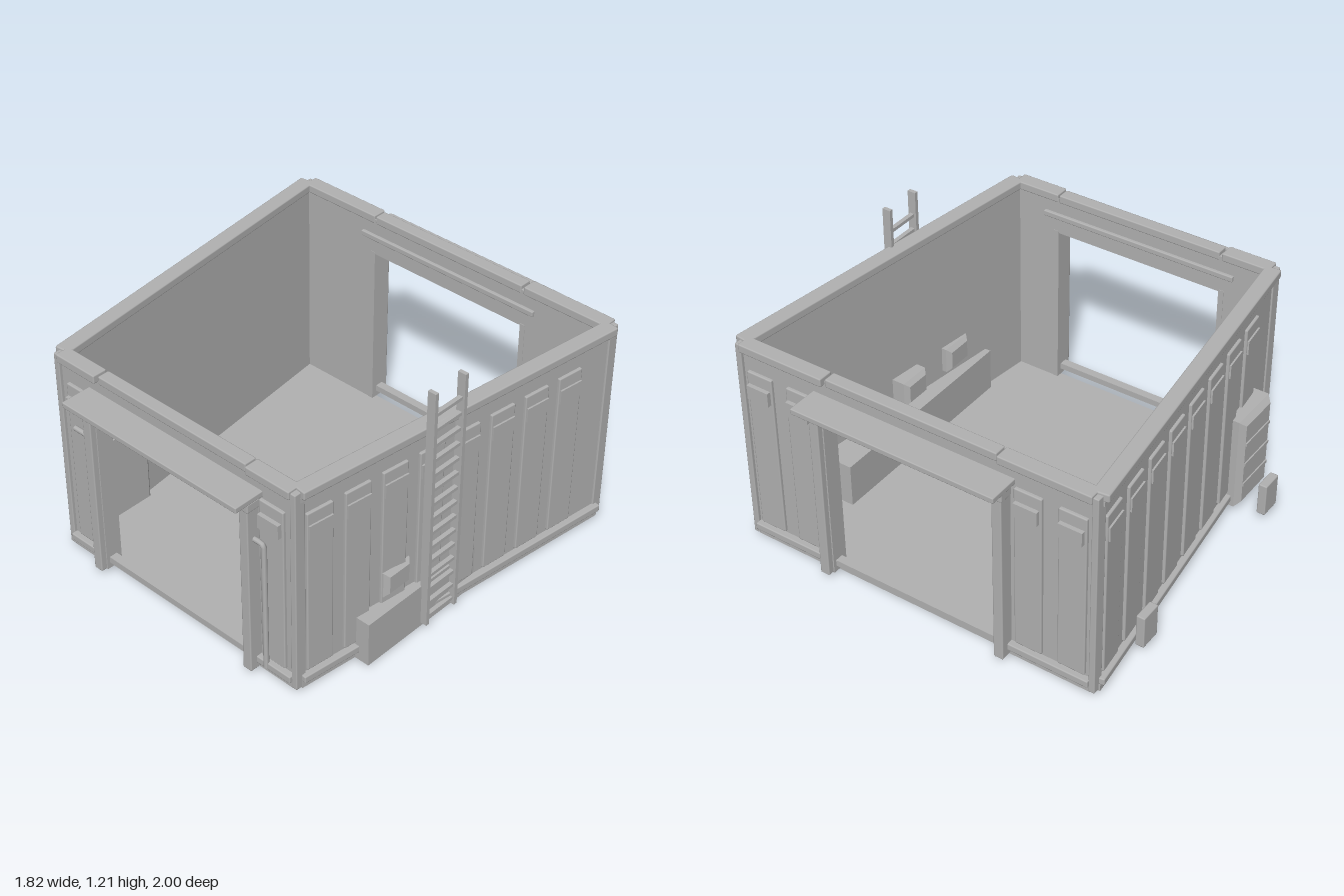
import * as THREE from 'three';
import { RoundedBoxGeometry } from 'three/addons/geometries/RoundedBoxGeometry.js';

const grey = new THREE.MeshStandardMaterial({ color: 0xb2b2b2 });
grey.name = 'paintedMetalGrey';

function add(parent, name, geometry) {
  const mesh = new THREE.Mesh(geometry, grey);
  mesh.name = name;
  parent.add(mesh);
  return mesh;
}

// Box given by its min and max on each axis; an optional radius eases the edges
function block(parent, name, [x0, x1], [y0, y1], [z0, z1], radius = 0) {
  const size = [x1 - x0, y1 - y0, z1 - z0];
  const geometry = radius ? new RoundedBoxGeometry(...size, 1, radius) : new THREE.BoxGeometry(...size);
  geometry.translate((x0 + x1) / 2, (y0 + y1) / 2, (z0 + z1) / 2);
  return add(parent, name, geometry);
}

// Box with chamfered edges, bevelled towards x
function chamferBox(parent, name, [x0, x1], [y0, y1], [z0, z1], c) {
  const w = (z1 - z0) / 2 - c, h = (y1 - y0) / 2 - c;
  const shape = new THREE.Shape([[-w, -h], [w, -h], [w, h], [-w, h]].map(p => new THREE.Vector2(...p)));
  const geometry = new THREE.ExtrudeGeometry(shape, {
    depth: x1 - x0 - 2 * c, bevelEnabled: true, bevelSize: c, bevelThickness: c, bevelSegments: 1,
  });
  geometry.translate(0, 0, c).rotateY(Math.PI / 2).translate(x0, (y0 + y1) / 2, (z0 + z1) / 2);
  return add(parent, name, geometry);
}

// Long slanted wall; outer face on local x = 0, facing +x
function sideWall(name) {
  const g = new THREE.Group();
  g.name = name;
  const L = 0.845;
  block(g, 'wallSheet', [-0.04, 0], [0.02, 1.01], [-L, L]);
  block(g, 'topRail', [-0.045, 0.03], [0.99, 1.03], [-L, L], 0.007);
  block(g, 'topLip', [-0.025, 0.012], [0.97, 0.992], [-L, L]);
  block(g, 'baseRail', [-0.03, 0.03], [0.05, 0.085], [-L, L], 0.006);
  block(g, 'baseSkirt', [-0.03, 0.012], [0.015, 0.052], [-L, L]);
  for (let i = 0; i < 8; i++) {
    const z = 0.75 - i * 0.1925;
    block(g, 'wallPanel', [-0.01, 0.013], [0.095, 0.9], [z - 0.066, z + 0.066], 0.006);
    block(g, 'ventPlate', [0, 0.021], [0.775, 0.842], [z - 0.06, z + 0.06]);
  }
  return g;
}

// Wall with a door opening, facing +z
function endWall(name, half, panelXs) {
  const g = new THREE.Group();
  g.name = name;
  const door = 0.425, zIn = 0.81, zOut = 0.855;
  block(g, 'lintel', [-door, door], [0.83, 1.01], [zIn, zOut]);
  block(g, 'middleTopRail', [-door + 0.012, door - 0.007], [0.99, 1.03], [0.808, 0.868], 0.006);
  block(g, 'threshold', [-door, door], [0.05, 0.08], [0.835, 0.875]);
  for (const s of [-1, 1]) {
    const span = (a, b) => s > 0 ? [a, b] : [-b, -a];
    block(g, 'doorSideWall', span(door, half), [0.02, 1.01], [zIn, zOut]);
    block(g, 'outerTopRail', span(door, half), [0.99, 1.03], [0.808, 0.88], 0.006);
    block(g, 'endBaseRail', span(door, half), [0.05, 0.085], [0.83, 0.885], 0.006);
    block(g, 'endSkirt', span(door, half), [0.015, 0.052], [0.83, 0.865]);
    block(g, 'cornerPost', span(half - 0.005, half + 0.025), [0.02, 1.02], [0.815, 0.87], 0.005);
    block(g, 'doorPost', span(door, 0.472), [0.02, 0.87], [0.845, 0.918], 0.006);
    block(g, 'innerJamb', span(door - 0.006, door + 0.02), [0.02, 0.84], [0.808, 0.89]);
    for (const x of panelXs) {
      block(g, 'endPanel', span(x - 0.065, x + 0.065), [0.095, 0.9], [0.84, 0.869], 0.006);
      block(g, 'endVentPlate', span(x - 0.055, x + 0.055), [0.775, 0.842], [0.85, 0.888]);
    }
  }
  // Stepped header and the canopy slab that runs through the wall
  block(g, 'doorHeader', [-0.472, 0.476], [0.848, 0.89], [0.845, 0.92], 0.006);
  block(g, 'headerStep', [-0.43, 0.43], [0.822, 0.85], [0.82, 0.895]);
  block(g, 'canopy', [-0.49, 0.495], [0.908, 0.935], [0.795, 1.0], 0.005);
  return g;
}

export function createModel() {
  const model = new THREE.Group();
  model.name = 'openToppedShelter';

  // Tapered floor
  const plan = new THREE.Shape([[-0.66, -0.84], [0.66, -0.84], [0.865, 0.84], [-0.865, 0.84]]
    .map(p => new THREE.Vector2(...p)));
  const floor = new THREE.ExtrudeGeometry(plan, { depth: 0.018, bevelEnabled: false });
  add(model, 'floor', floor.rotateX(-Math.PI / 2));

  // Slanted sides, wide at the back
  const slant = Math.atan2(-0.205, 1.68);
  const leftSide = sideWall('leftWall');
  leftSide.position.x = 0.7725;
  leftSide.rotation.y = slant;
  const rightSide = sideWall('rightWall');
  rightSide.position.x = -0.7725;
  rightSide.rotation.y = Math.PI - slant;
  const back = endWall('backWall', 0.855, [0.56, 0.765]);
  back.rotation.y = Math.PI;
  model.add(leftSide, rightSide, endWall('frontWall', 0.655, [0.55]), back);

  // Bent conduits beside the front door
  for (const x of [-0.48, 0.523]) {
    const path = new THREE.CurvePath();
    const p = [[x - 0.085, 0.702], [x - 0.012, 0.702], [x, 0.69], [x, 0.06]]
      .map(([a, b]) => new THREE.Vector3(a, b, 0.882));
    for (let i = 0; i < 3; i++) path.add(new THREE.LineCurve3(p[i], p[i + 1]));
    add(model, 'conduit', new THREE.TubeGeometry(path, 48, 0.012, 8));
  }

  // Ladder
  const ladder = new THREE.Group();
  ladder.name = 'ladder';
  for (const z of [0.05, 0.228]) {
    block(ladder, 'ladderRail', [0.777, 0.817], [0.03, 1.215], [z - 0.009, z + 0.009]);
  }
  for (let i = 0; i < 15; i++) {
    const y = 0.06 + i * 0.0742;
    block(ladder, 'rung', [0.787, 0.807], [y - 0.008, y + 0.008], [0.05, 0.228]);
  }
  model.add(ladder);

  // Bench running through the slanted wall, with three cases above it
  block(model, 'bench', [0.635, 0.785], [0.01, 0.23], [-0.495, 0.56]);
  for (const z of [-0.288, 0.03, 0.348]) {
    chamferBox(model, 'storageCase', [0.655, 0.76], [0.265, 0.39], [z - 0.078, z + 0.078], 0.02);
  }

  // Ribbed cabinet in the right wall
  chamferBox(model, 'cabinet', [-0.79, -0.62], [0.03, 0.495], [0.43, 0.685], 0.025);
  for (const y of [0.15, 0.26, 0.37]) {
    block(model, 'cabinetRib', [-0.796, -0.78], [y - 0.008, y + 0.008], [0.455, 0.66]);
  }

  // Small outer boxes
  for (const z of [-0.505, 0.495]) {
    block(model, 'outerBox', [-0.915, -0.873], [0.04, 0.2], [z - 0.053, z + 0.053], 0.006);
  }
  return model;
}
